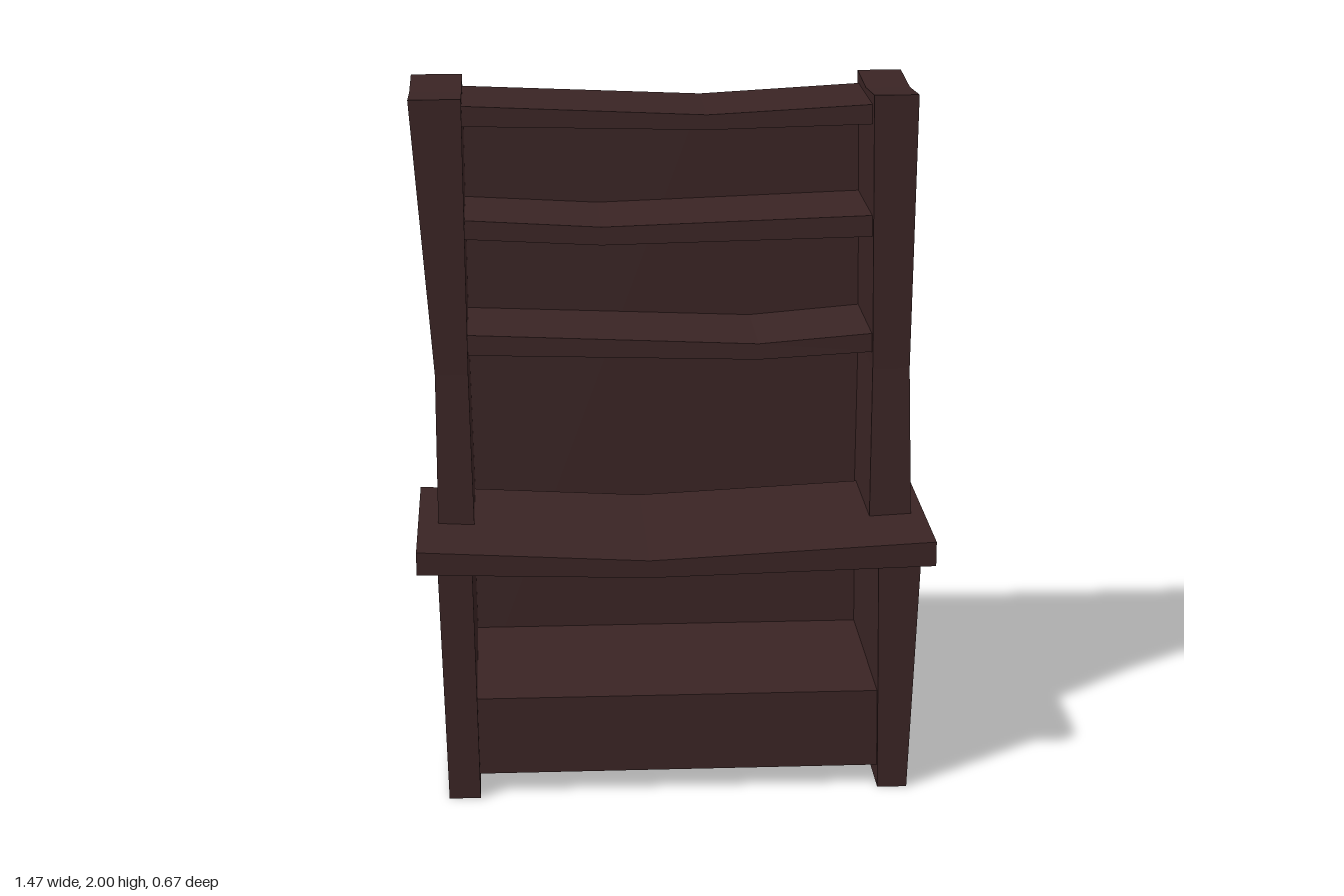
import * as THREE from 'three';

const BACK = -0.33;

export function createModel() {
  const group = new THREE.Group();
  const wood = new THREE.MeshStandardMaterial({ color: 0x3a2424, flatShading: true });
  wood.name = 'dark wood';

  const add = (name, geometry) => {
    const mesh = new THREE.Mesh(geometry, wood);
    mesh.name = name;
    group.add(mesh);
    return mesh;
  };

  // Upright panel: rows of [y, lowX, highX, frontZ], bottom to top; dip lowers the middle of the top edge
  const upright = (name, rows, dip = 0) => {
    const n = rows.length - 1;
    const box = new THREE.BoxGeometry(1, 1, 1, 1, n, 2);
    const p = box.attributes.position;
    for (let i = 0; i < p.count; i++) {
      const r = Math.round((p.getY(i) + 0.5) * n);
      const [y, x0, x1, front] = rows[r];
      const t = p.getZ(i) + 0.5;
      const sag = r === n && Math.abs(t - 0.5) < 0.1 ? dip : 0;
      p.setXYZ(i, p.getX(i) < 0 ? x0 : x1, y - sag, BACK + t * (front - BACK));
    }
    const g = box.toNonIndexed();
    g.computeVertexNormals();
    add(name, g);
  };

  // Board with a bent profile: tops and bottoms are [x, y] from left to right of the front
  const board = (name, tops, bottoms, z0, z1, skew = 0) => {
    const outline = [...bottoms, ...[...tops].reverse()].map(([x, y]) => new THREE.Vector2(x, y));
    const g = new THREE.ExtrudeGeometry(new THREE.Shape(outline), { depth: z1 - z0, bevelEnabled: false });
    g.translate(0, 0, z0);
    // Front edge runs slightly out of square
    const p = g.attributes.position;
    for (let i = 0; i < p.count; i++) {
      if (p.getZ(i) > z1 - 0.001) p.setZ(i, z1 + skew * p.getX(i));
    }
    g.computeVertexNormals();
    add(name, g);
  };

  // Base sides
  upright('rightBaseSide', [[0, -0.66, -0.57, 0.31], [0.72, -0.68, -0.582, 0.31]]);
  upright('leftBaseSide', [[0, 0.585, 0.67, 0.297], [0.72, 0.575, 0.698, 0.297]]);

  // Hutch sides, flaring towards the top
  upright('rightHutchSide', [
    [0.72, -0.68, -0.575, 0.07], [1.2, -0.68, -0.585, 0.055], [2, -0.738, -0.59, 0.075],
  ], 0.015);
  upright('leftHutchSide', [
    [0.72, 0.575, 0.698, 0.07], [1.2, 0.578, 0.685, 0.055], [2, 0.565, 0.692, 0.075],
  ], 0.015);

  // Worktop
  board('worktop',
    [[-0.738, 0.762], [-0.08, 0.725], [0.735, 0.765]],
    [[-0.738, 0.695], [-0.08, 0.674], [0.735, 0.693]], -0.27, 0.335);

  // Hutch shelves: [name, bend x, top y at left/bend/right, bottom y at left/bend/right]
  const shelves = [
    ['lowerShelf', 0.25, [1.307, 1.272, 1.3], [1.247, 1.225, 1.245]],
    ['upperShelf', -0.2, [1.643, 1.62, 1.647], [1.588, 1.567, 1.585]],
    ['topShelf', 0.1, [1.97, 1.94, 1.967], [1.912, 1.897, 1.91]],
  ];
  for (const [name, bend, top, bottom] of shelves) {
    const xs = [-0.6, bend, 0.585];
    board(name, xs.map((x, i) => [x, top[i]]), xs.map((x, i) => [x, bottom[i]]), -0.305, 0.025, 0.015);
  }

  // Back panel, set just below the top shelf
  board('backPanel',
    [[-0.59, 1.945], [0.1, 1.915], [0.575, 1.942]],
    [[-0.58, 0.06], [0.1, 0.06], [0.59, 0.06]], BACK + 0.001, -0.305);

  // Base floor and plinth, open underneath
  board('baseFloor', [[-0.58, 0.295], [0.59, 0.295]], [[-0.58, 0.24], [0.59, 0.24]], -0.306, 0.24);
  board('plinth', [[-0.58, 0.295], [0.59, 0.295]], [[-0.58, 0.063], [0.59, 0.063]], 0.24, 0.28);

  return group;
}
